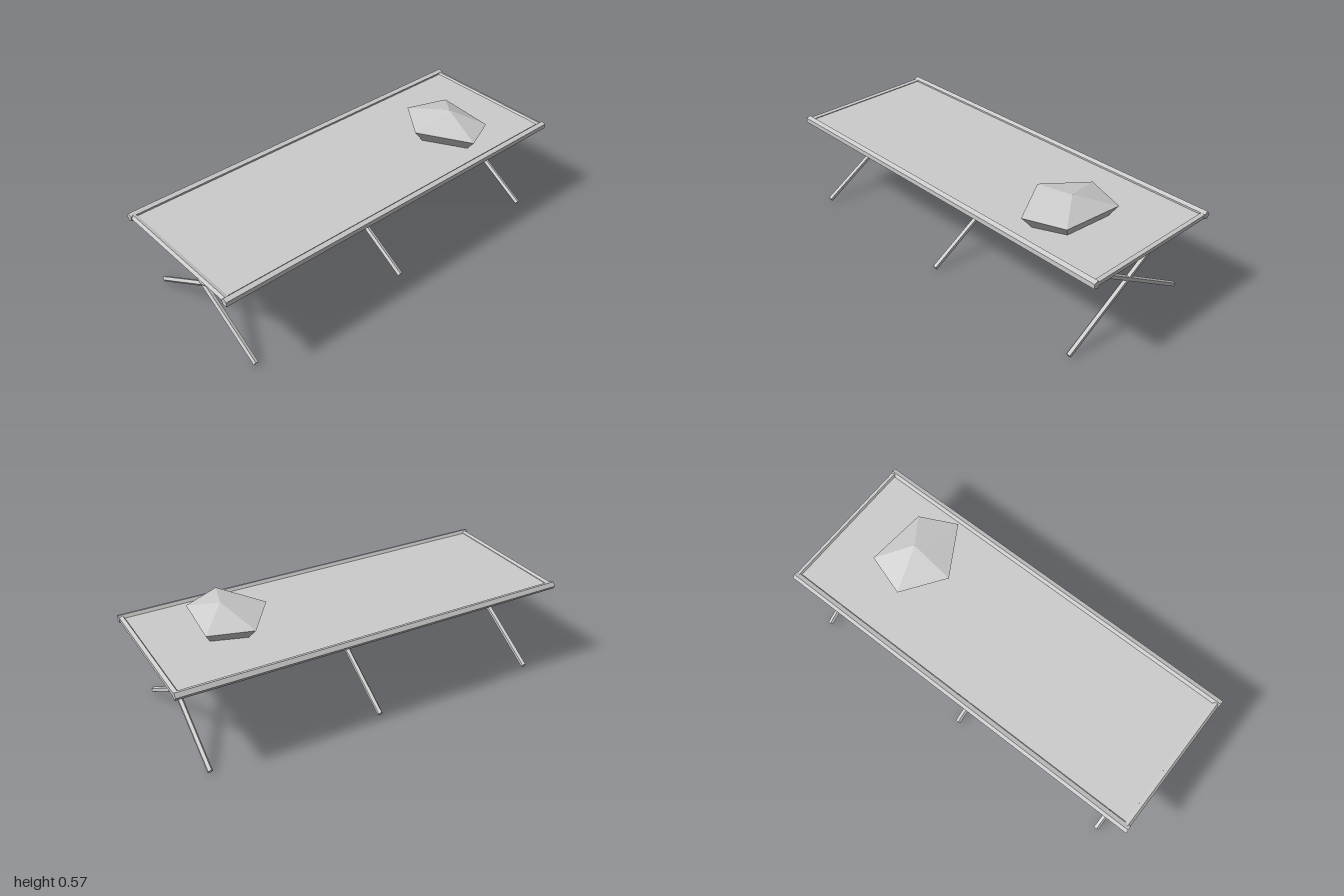
import * as THREE from 'three';

export function createModel() {
  const model = new THREE.Group();
  const grey = new THREE.MeshStandardMaterial({ color: 0xcccccc, flatShading: true });
  grey.name = 'light grey';

  const add = (name, geometry, x = 0, y = 0, z = 0) => {
    const mesh = new THREE.Mesh(geometry, grey);
    mesh.name = name;
    mesh.position.set(x, y, z);
    model.add(mesh);
    return mesh;
  };
  // Five-sided pole along y, with one edge towards +z
  const pole = (radius, length) => new THREE.CylinderGeometry(radius, radius, length, 5);

  const deckY = 0.455;

  // Long side rails, one edge towards -x
  for (const [name, x] of [['rightRail', -0.367], ['leftRail', 0.368]]) {
    add(name, pole(0.02, 2).rotateY(-Math.PI / 2).rotateX(Math.PI / 2), x, deckY, 0);
  }

  // End bars between the rails
  for (const [name, z] of [['frontBar', 0.982], ['backBar', -0.986]]) {
    add(name, pole(0.0158, 0.72).rotateZ(Math.PI / 2), 0, deckY, z);
  }

  // Stretched cloth
  add('cloth', new THREE.BoxGeometry(0.695, 0.004, 1.96), 0.0005, 0.459, 0);

  // Three pairs of crossed legs
  const top = 0.455, foot = 0.013, reach = 0.367;
  const length = Math.hypot(2 * reach, top - foot);
  const tilt = Math.atan2(2 * reach, top - foot);
  for (const [place, z] of [['front', 0.875], ['middle', 0], ['back', -0.875]]) {
    for (const side of [-1, 1]) {
      const leg = add(place + (side < 0 ? 'RightLeg' : 'LeftLeg'),
        pole(0.0137, length), 0.001, (top + foot) / 2, z);
      leg.rotation.z = side * tilt;
    }
  }

  // Faceted pillow: peak, five-cornered rim and a narrower base
  const peak = [0.078, 0.573, -0.6];
  const rim = [
    [-0.077, 0.511, -0.738], [0.231, 0.513, -0.712], [0.316, 0.522, -0.526],
    [0.061, 0.524, -0.377], [-0.146, 0.515, -0.526],
  ];
  const base = rim.map(([x, , z]) => [
    peak[0] + (x - peak[0]) * 0.78, 0.4595, peak[2] + (z - peak[2]) * 0.78,
  ]);
  const baseCentre = [peak[0], 0.4595, peak[2]];
  const points = [];
  for (let i = 0; i < 5; i++) {
    const j = (i + 1) % 5;
    points.push(
      ...peak, ...rim[j], ...rim[i],
      ...rim[i], ...rim[j], ...base[i],
      ...rim[j], ...base[j], ...base[i],
      ...baseCentre, ...base[i], ...base[j],
    );
  }
  const pillow = new THREE.BufferGeometry();
  pillow.setAttribute('position', new THREE.Float32BufferAttribute(points, 3));
  pillow.computeVertexNormals();
  add('pillow', pillow);

  return model;
}
